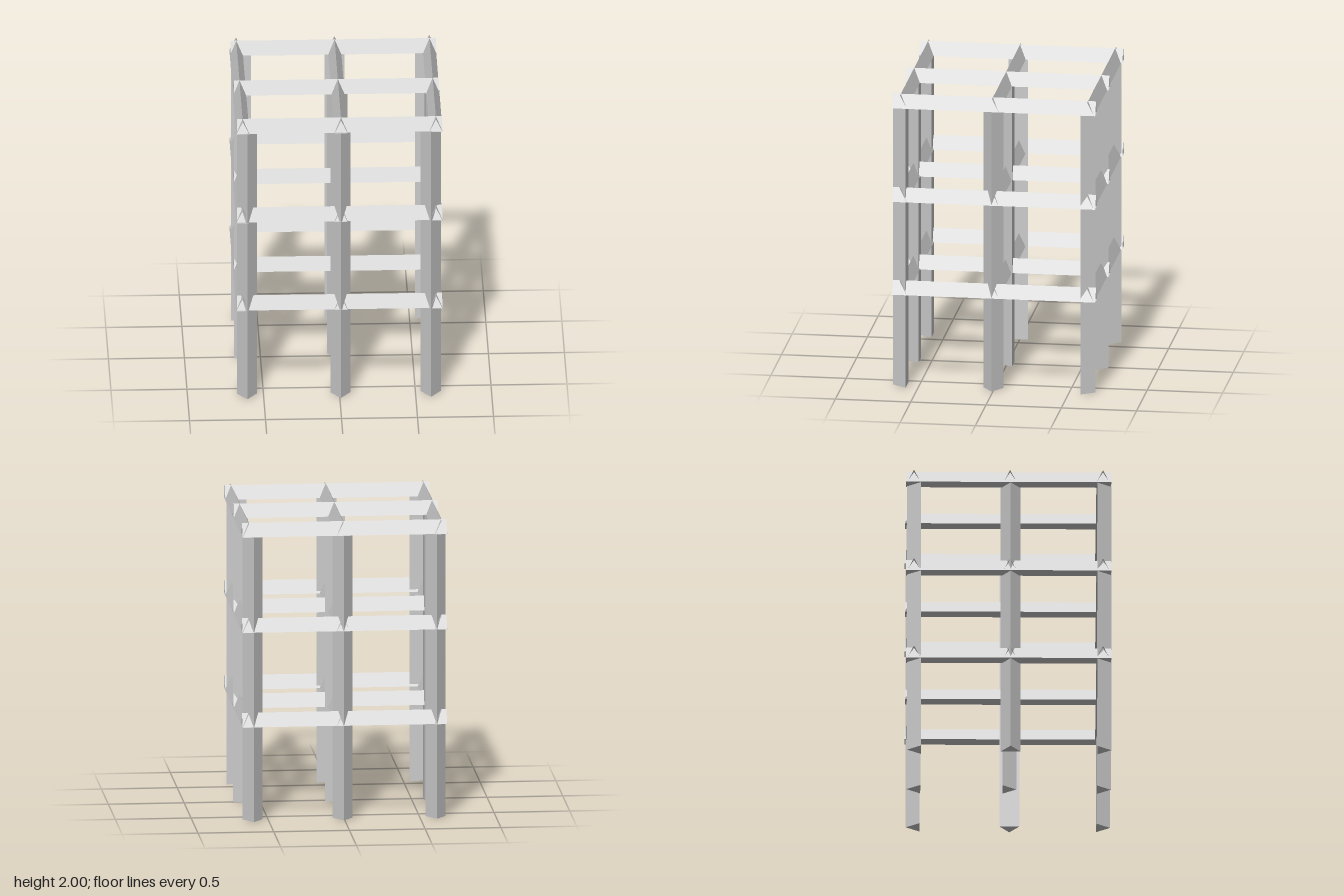
import * as THREE from 'three';

const material = new THREE.MeshStandardMaterial({ color: 0xcccccc, flatShading: true, side: THREE.DoubleSide });

// Upright triangular prism: base edge on z = 0, ridge towards +z, foot at y = 0
function prism(width, depth, length, open) {
  const g = new THREE.CylinderGeometry(1, 1, length, 3, 1, open);
  g.translate(0, 0, 0.5);
  g.scale(width / Math.sqrt(3), 1, depth / 1.5);
  return g;
}

export function createModel() {
  const model = new THREE.Group();
  const add = (name, geometry, x, y, z) => {
    const mesh = new THREE.Mesh(geometry, material);
    mesh.name = name;
    mesh.position.set(x, y, z);
    model.add(mesh);
  };

  // Columns: the ridge of each outer one points outwards
  const columnHeight = 1.912;
  const column = (name, x, z, turn) => add(name,
    prism(0.132, 0.092, columnHeight, false).rotateY(turn), x, columnHeight / 2, z);
  for (const x of [-0.608, 0.007, 0.601]) {
    column('frontColumn', x, 0.581, 0);
    column('backColumn', x, -0.58, Math.PI);
  }
  column('centreColumn', 0.007, -0.04, 0);
  column('leftColumn', 0.583, 0.01, Math.PI / 2);
  column('rightColumn', -0.583, 0.01, -Math.PI / 2);

  // Beams: hollow prisms with the ridge on top and open ends, three each way per level
  const beam = prism(0.087, 0.09, 1.35, true).rotateX(-Math.PI / 2);
  const crossBeam = beam.clone().rotateY(Math.PI / 2);
  for (const y of [0.635, 1.27, 1.91]) {
    for (const z of [-0.626, 0.006, 0.617]) add('crossBeam', crossBeam, 0, y, z);
    for (const x of [-0.638, 0.009, 0.633]) add('lengthBeam', beam, x, y, -0.004);
  }
  return model;
}
